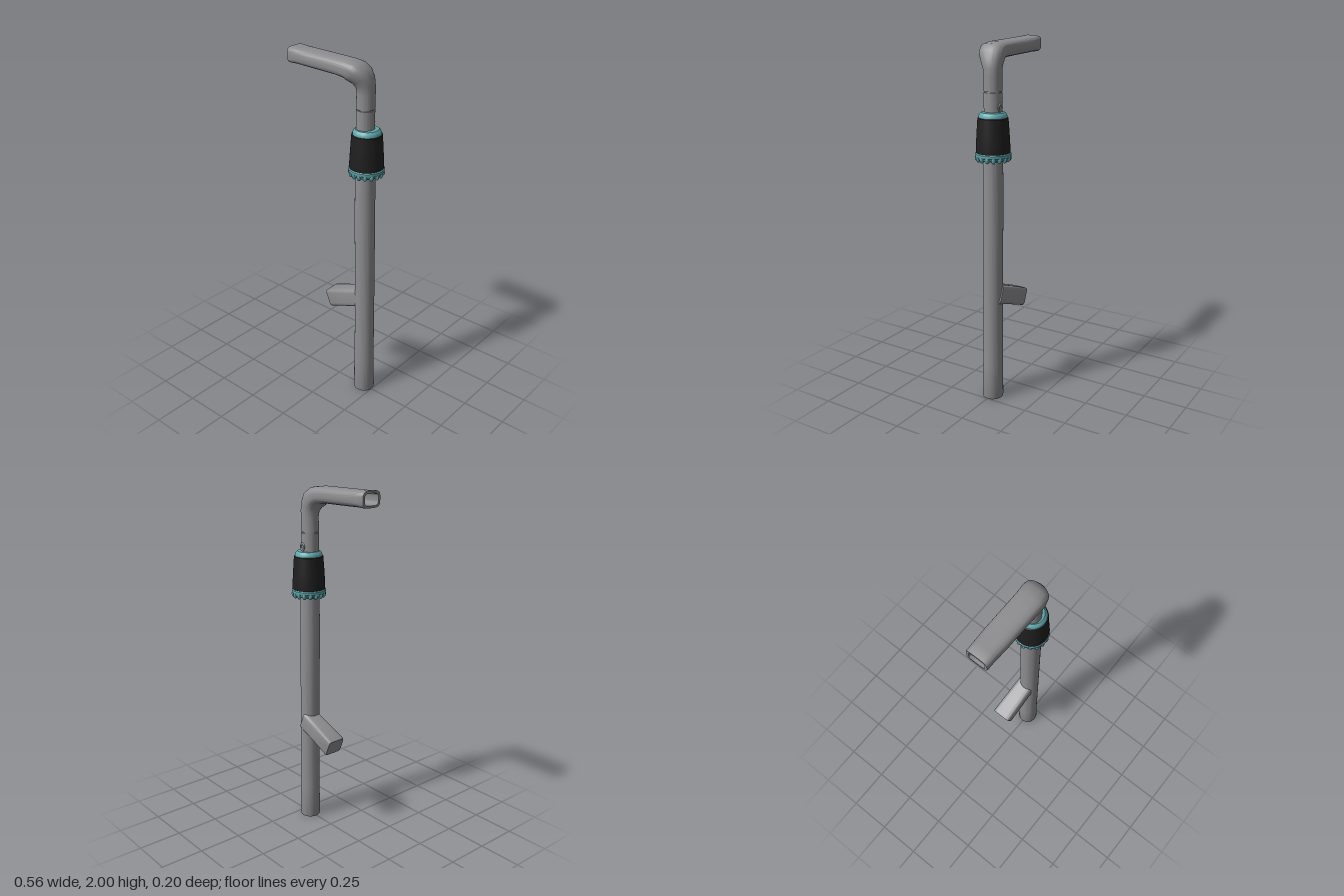
import * as THREE from 'three';
import { toCreasedNormals } from 'three/addons/utils/BufferGeometryUtils.js';

const material = (name, color) => {
  const m = new THREE.MeshStandardMaterial({ color });
  m.name = name;
  return m;
};

// Skin over superellipse sections: [x, y, z, headingDegrees, halfInPlane, halfZ, power]
function loft(sections, sides = 40, { capStart = false, capEnd = false, crease = 0.7 } = {}) {
  const pos = [], index = [];
  const soft = (v, p) => Math.sign(v) * Math.pow(Math.abs(v), 2 / p);
  for (const [x, y, z, deg, a, b, p = 2] of sections) {
    const h = THREE.MathUtils.degToRad(deg);
    for (let j = 0; j < sides; j++) {
      const u = (j / sides) * Math.PI * 2;
      const n = a * soft(Math.cos(u), p);
      pos.push(x + n * Math.sin(h), y - n * Math.cos(h), z - b * soft(Math.sin(u), p));
    }
  }
  for (let i = 0; i < sections.length - 1; i++) {
    for (let j = 0; j < sides; j++) {
      const k = (j + 1) % sides, a = i * sides + j, b = i * sides + k;
      index.push(a, b, a + sides, b, b + sides, a + sides);
    }
  }
  const cap = (i, flip) => {
    const c = pos.length / 3, s = i * sides;
    pos.push(...sections[i].slice(0, 3));
    for (let j = 0; j < sides; j++) {
      const a = s + j, b = s + ((j + 1) % sides);
      index.push(c, flip ? b : a, flip ? a : b);
    }
  };
  if (capStart) cap(0, true);
  if (capEnd) cap(sections.length - 1, false);
  const g = new THREE.BufferGeometry();
  g.setAttribute('position', new THREE.Float32BufferAttribute(pos, 3));
  g.setIndex(index);
  return toCreasedNormals(g, crease);
}

const lathe = (points) =>
  toCreasedNormals(new THREE.LatheGeometry(points.map(([r, y]) => new THREE.Vector2(r, y)), 48), 0.6);

export function createModel() {
  const grey = material('grey metal', 0x8e8d90);
  const black = material('black rubber', 0x1f1f1f);
  const teal = material('teal plastic', 0x5fa6ab);

  const model = new THREE.Group();
  model.name = 'tubeWithHandle';
  const add = (name, geometry, mat, parent = model) => {
    const mesh = new THREE.Mesh(geometry, mat);
    mesh.name = name;
    parent.add(mesh);
    return mesh;
  };

  // Long tube, hollow at the foot and drifting slightly as it rises
  add('mainTube', loft([
    [0.192, 0.4, -0.002, 90, 0.042, 0.041],
    [0.192, 0.012, -0.002, 90, 0.042, 0.041],
    [0.192, 0, -0.002, 90, 0.045, 0.044],
    [0.192, 0, -0.002, 90, 0.058, 0.056],
    [0.192, 0.01, -0.002, 90, 0.061, 0.058],
    [0.189, 0.2, -0.002, 90, 0.057, 0.056],
    [0.187, 0.6, -0.002, 90, 0.054, 0.055],
    [0.182, 0.9, -0.002, 90, 0.055, 0.055],
    [0.178, 1.15, -0.002, 90, 0.056, 0.055],
    [0.176, 1.42, -0.002, 90, 0.053, 0.053],
  ]), grey);

  // Side branch: a rounded bar angled down from the tube
  add('sideBranch', loft([
    [0.19, 0.628, -0.012, 202, 0.056, 0.052, 5],
    [0.08, 0.588, -0.014, 202, 0.053, 0.054, 6],
    [-0.05, 0.537, -0.017, 202, 0.052, 0.056, 7],
    [-0.056, 0.535, -0.017, 202, 0.049, 0.053, 7],
  ], 48, { capStart: true, capEnd: true }), grey);

  // Collar: lobed ring, rubber grip and cap
  const collar = new THREE.Group();
  collar.name = 'collar';
  collar.position.set(0.181, 0, -0.006);
  model.add(collar);
  add('collarRing', lathe([
    [0.05, 1.385], [0.08, 1.383], [0.088, 1.39], [0.09, 1.4],
    [0.095, 1.403], [0.096, 1.418], [0.09, 1.424], [0.08, 1.424],
  ]), teal, collar);
  const lobe = new THREE.SphereGeometry(1, 12, 8);
  const lobes = 16;
  for (let i = 0; i < lobes; i++) {
    const a = ((i + 0.5) / lobes) * Math.PI * 2;
    const m = add('ringLobe', lobe, teal, collar);
    m.position.set(Math.cos(a) * 0.083, 1.395, Math.sin(a) * 0.083);
    m.scale.set(0.014, 0.021, 0.012);
    m.rotation.y = -a;
  }
  add('rubberGrip', lathe([
    [0.08, 1.42], [0.091, 1.421], [0.091, 1.45], [0.087, 1.52],
    [0.082, 1.59], [0.081, 1.604], [0.074, 1.608], [0.05, 1.608],
  ]), black, collar);
  add('collarCap', lathe([
    [0.076, 1.604], [0.076, 1.614], [0.071, 1.626], [0.062, 1.634], [0.04, 1.636],
  ]), teal, collar);

  // Neck with a narrow groove beneath the handle
  add('neck', loft([
    [0.172, 1.6, -0.002, 90, 0.049, 0.049],
    [0.172, 1.736, -0.002, 90, 0.049, 0.049],
    [0.172, 1.736, -0.002, 90, 0.043, 0.043],
    [0.172, 1.76, -0.002, 90, 0.043, 0.043],
  ]), grey);
  const catchPart = add('neckCatch', new THREE.TorusGeometry(0.014, 0.005, 8, 16), grey);
  catchPart.position.set(0.178, 1.66, -0.05);
  catchPart.scale.y = 1.3;

  // Bent handle, flattening towards its open end
  add('handle', loft([
    [0.172, 1.741, -0.002, 90, 0.043, 0.043],
    [0.172, 1.741, -0.002, 90, 0.049, 0.048],
    [0.173, 1.82, -0.002, 90, 0.049, 0.048],
    [0.172, 1.855, 0, 95, 0.05, 0.05, 2.1],
    [0.166, 1.888, 0.009, 112, 0.053, 0.06, 2.3],
    [0.152, 1.915, 0.019, 132, 0.056, 0.07, 2.5],
    [0.13, 1.933, 0.026, 154, 0.053, 0.072, 2.7],
    [0.095, 1.942, 0.03, 174, 0.046, 0.069, 2.9],
    [0.04, 1.946, 0.03, 178, 0.043, 0.068, 3],
    [-0.15, 1.951, 0.03, 178, 0.043, 0.067, 3],
    [-0.22, 1.953, 0.03, 179, 0.042, 0.063, 3.4],
    [-0.27, 1.954, 0.031, 180, 0.044, 0.061, 4],
    [-0.278, 1.954, 0.031, 180, 0.042, 0.059, 4],
    [-0.278, 1.954, 0.031, 180, 0.031, 0.046, 4],
    [-0.1, 1.952, 0.031, 180, 0.03, 0.045, 4],
  ], 48, { capEnd: true }), grey);

  return model;
}
